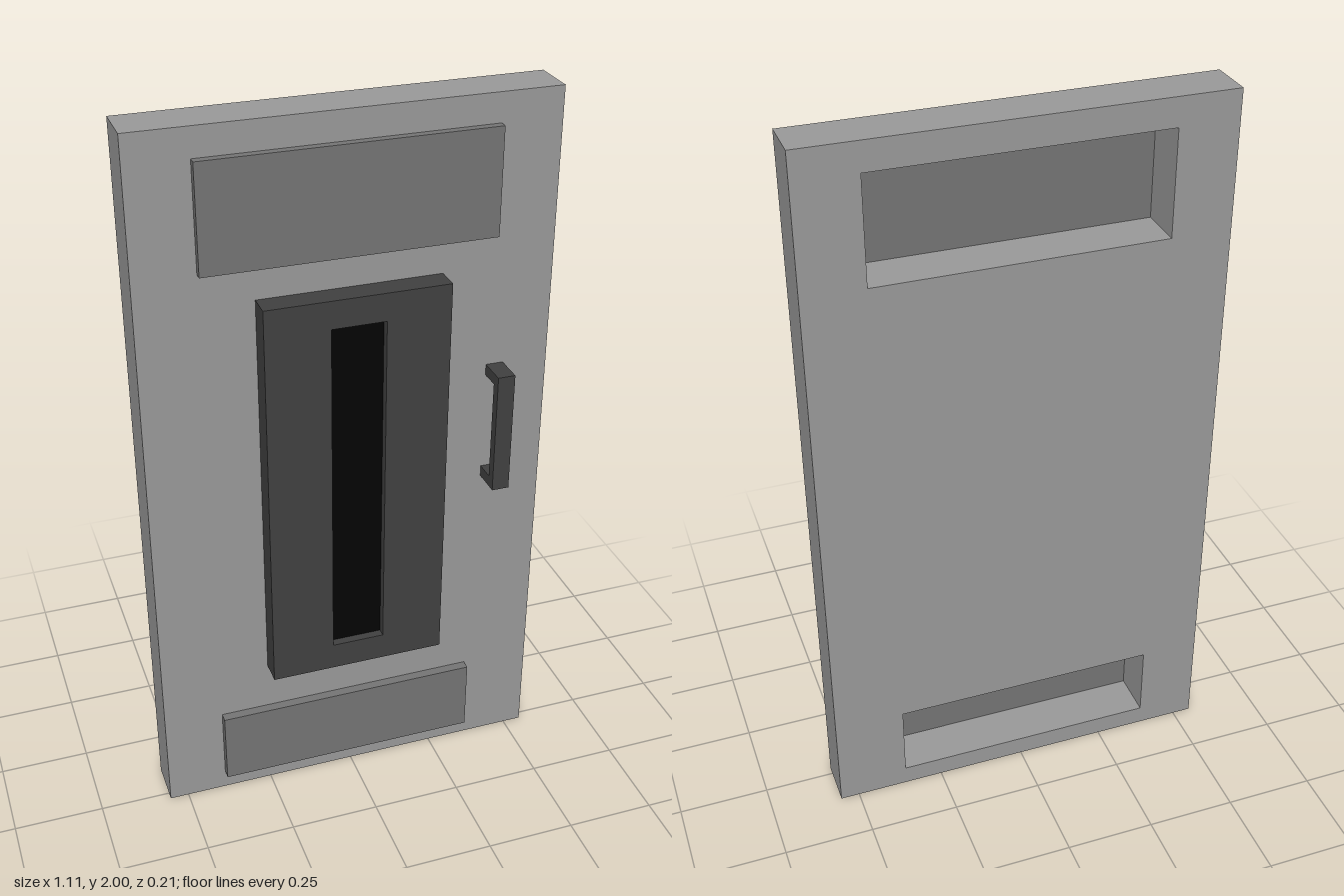
import * as THREE from 'three';

const BACK = -0.106, FACE = 0.023; // slab back and front planes

const mat = (color) => new THREE.MeshStandardMaterial({ color, flatShading: true });

// Rectangle outline [x0, x1, y0, y1] as a path or shape
function rect([x0, x1, y0, y1], Type = THREE.Shape) {
  const p = new Type();
  p.moveTo(x0, y0);
  p.lineTo(x1, y0);
  p.lineTo(x1, y1);
  p.lineTo(x0, y1);
  p.closePath();
  return p;
}

// Rectangular plate between two z planes, with optional rectangular openings
function plate(name, bounds, z0, z1, material, openings = []) {
  const shape = rect(bounds);
  openings.forEach((o) => shape.holes.push(rect(o, THREE.Path)));
  const geo = new THREE.ExtrudeGeometry(shape, { depth: z1 - z0, bevelEnabled: false });
  geo.translate(0, 0, z0);
  const mesh = new THREE.Mesh(geo, material);
  mesh.name = name;
  return mesh;
}

export function createModel() {
  const door = new THREE.Group();
  door.name = 'door';

  const slabMat = mat(0x9a9a9a);
  const panelMat = mat(0x757575);
  const darkMat = mat(0x414141);
  const paneMat = mat(0x030303);

  const upper = [-0.39, 0.388, 1.633, 1.922];
  const lower = [-0.387, 0.357, 0.056, 0.27];
  const frame = [-0.248, 0.247, 0.411, 1.545];
  const slot = [-0.074, 0.073, 0.489, 1.468];

  // Slab with two openings, each closed at the front by a raised panel
  door.add(plate('slab', [-0.553, 0.553, 0, 2], BACK, FACE, slabMat, [upper, lower]));
  door.add(plate('upperPanel', upper, FACE, 0.045, panelMat));
  door.add(plate('lowerPanel', lower, FACE, 0.05, panelMat));

  // Window surround with a sunken dark pane
  door.add(plate('windowFrame', frame, FACE, 0.09, darkMat, [slot]));
  door.add(plate('windowPane', slot, FACE, 0.066, paneMat));

  // Handle: a bar held off the slab by two end posts
  const handle = new THREE.Group();
  handle.name = 'handle';
  const [hx0, hx1, hy0, hy1, t] = [0.379, 0.427, 0.918, 1.263, 0.031];
  handle.add(plate('handleBar', [hx0, hx1, hy0, hy1], 0.079, 0.106, darkMat));
  handle.add(plate('handleLowerPost', [hx0, hx1, hy0, hy0 + t], FACE, 0.079, darkMat));
  handle.add(plate('handleUpperPost', [hx0, hx1, hy1 - t, hy1], FACE, 0.079, darkMat));
  door.add(handle);

  return door;
}
